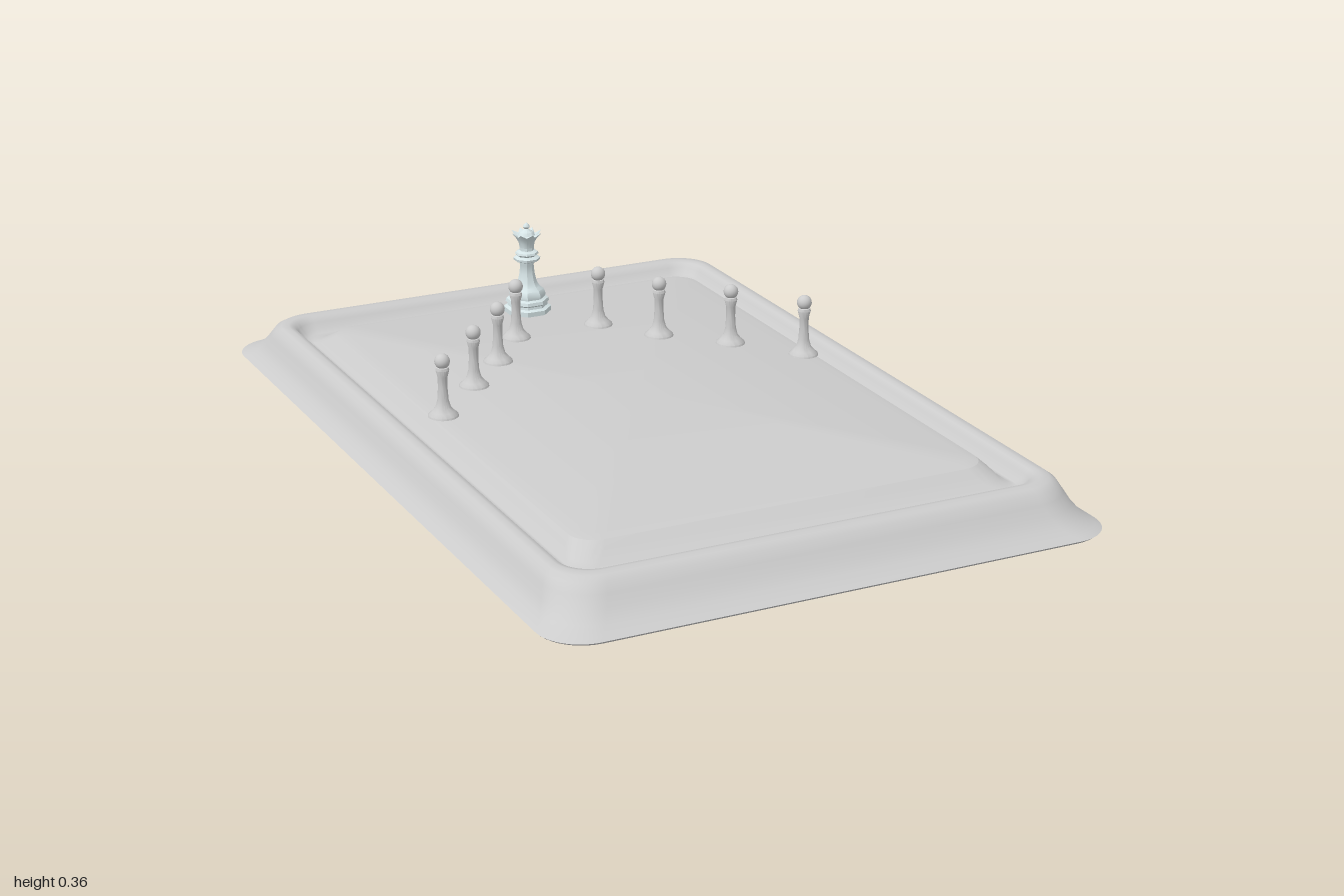
import * as THREE from 'three';
import { toCreasedNormals } from 'three/addons/utils/BufferGeometryUtils.js';

const grey = new THREE.MeshStandardMaterial({ color: 0xcccccc, side: THREE.DoubleSide });
const pale = new THREE.MeshStandardMaterial({ color: 0xd6e4e6, side: THREE.DoubleSide });

function named(name, geometry, material) {
  const mesh = new THREE.Mesh(geometry, material);
  mesh.name = name;
  return mesh;
}

// Outline of a rounded rectangle, running from +x towards +z
function roundedRing(hx, hz, r, steps = 10) {
  const centres = [[1, 1], [-1, 1], [-1, -1], [1, -1]];
  const points = [];
  centres.forEach(([sx, sz], k) => {
    for (let i = 0; i <= steps; i++) {
      const a = (k + i / steps) * Math.PI / 2;
      points.push([sx * (hx - r) + r * Math.cos(a), sz * (hz - r) + r * Math.sin(a)]);
    }
  });
  return points;
}

// Skin a stack of rounded rectangles given as [halfX, halfZ, y, cornerRadius]
function loftRings(sections, crease) {
  const position = [], index = [];
  let n = 0;
  sections.forEach(([hx, hz, y, r]) => {
    const ring = roundedRing(hx, hz, r);
    n = ring.length;
    ring.forEach(([x, z]) => position.push(x, y, z));
  });
  for (let i = 0; i < sections.length - 1; i++) {
    for (let j = 0; j < n; j++) {
      const a = i * n + j, b = i * n + (j + 1) % n, c = a + n, d = b + n;
      index.push(a, c, b, b, c, d);
    }
  }
  const geometry = new THREE.BufferGeometry();
  geometry.setAttribute('position', new THREE.Float32BufferAttribute(position, 3));
  geometry.setIndex(index);
  return toCreasedNormals(geometry, crease);
}

function turned(profile, segments, crease = 0.6) {
  const points = profile.map(([r, y]) => new THREE.Vector2(r, y));
  return toCreasedNormals(new THREE.LatheGeometry(points, segments, Math.PI / segments), crease);
}

// Board: slightly bulging underside, raised rim, groove and flat playing field
function makeBoard() {
  const board = new THREE.Group();
  board.name = 'board';
  board.add(named('tray', loftRings([
    [0, 0, 0, 0], [0.35, 0.6, 0.002, 0.08], [0.55, 0.86, 0.007, 0.1],
    [0.635, 0.96, 0.013, 0.1], [0.664, 0.994, 0.02, 0.1],
    [0.67, 1, 0.026, 0.1], [0.66, 0.988, 0.032, 0.1],
    [0.643, 0.962, 0.045, 0.1], [0.629, 0.938, 0.067, 0.1],
    [0.619, 0.92, 0.09, 0.1], [0.609, 0.905, 0.109, 0.095],
    [0.597, 0.89, 0.118, 0.09], [0.58, 0.871, 0.12, 0.08],
    [0.568, 0.857, 0.117, 0.07], [0.559, 0.846, 0.106, 0.06],
    [0.55, 0.834, 0.092, 0.055], [0.541, 0.82, 0.085, 0.05],
    [0.532, 0.802, 0.085, 0.05], [0.522, 0.78, 0.093, 0.055],
    [0.511, 0.758, 0.108, 0.06], [0.497, 0.738, 0.122, 0.06],
  ], 0.9), grey));
  board.add(named('playingField', loftRings([
    [0.497, 0.738, 0.122, 0.06], [0.475, 0.716, 0.127, 0.05], [0, 0, 0.128, 0],
  ], 0.5), grey));
  return board;
}

// Pawn: flared foot, slim neck and ball head
const pawnGeometry = turned([
  [0, 0], [0.036, 0], [0.035, 0.004], [0.026, 0.012], [0.018, 0.022], [0.013, 0.04],
  [0.011, 0.07], [0.0115, 0.095], [0.016, 0.112], [0.014, 0.118], [0.01, 0.12],
], 20);
const headGeometry = new THREE.SphereGeometry(0.018, 20, 14);

function makePawn(x, z) {
  const pawn = new THREE.Group();
  pawn.name = 'pawn';
  const head = named('pawnHead', headGeometry, grey);
  head.position.y = 0.133;
  pawn.add(named('pawnBody', pawnGeometry, grey), head);
  pawn.position.set(x, 0.128, z);
  return pawn;
}

// Queen: stepped octagonal foot, waisted body, collars and pointed crown
function makeQueen() {
  const queen = new THREE.Group();
  queen.name = 'queen';
  queen.add(named('queenBody', turned([
    [0, 0], [0.06, 0], [0.06, 0.012], [0.051, 0.016], [0.05, 0.022], [0.055, 0.026],
    [0.053, 0.034], [0.045, 0.038], [0.046, 0.046], [0.041, 0.058], [0.031, 0.066],
    [0.024, 0.078], [0.019, 0.1], [0.017, 0.122], [0.02, 0.13], [0.033, 0.135],
    [0.034, 0.141], [0.024, 0.146], [0.03, 0.151], [0.028, 0.156], [0.018, 0.16], [0.018, 0.17],
  ], 8), pale));

  const crown = new THREE.LatheGeometry([
    [0.018, 0.168], [0.02, 0.18], [0.027, 0.193], [0.04, 0.208], [0.024, 0.2], [0, 0.2],
  ].map(([r, y]) => new THREE.Vector2(r, y)), 16);
  // pull every second rim vertex in and down to leave eight points
  const p = crown.attributes.position;
  for (let i = 0; i < p.count; i++) {
    const x = p.getX(i), z = p.getZ(i);
    const step = Math.round(Math.atan2(x, z) / (Math.PI / 8));
    if (Math.hypot(x, z) > 0.035 && step % 2 !== 0) p.setXYZ(i, x * 0.74, 0.198, z * 0.74);
  }
  queen.add(named('crown', toCreasedNormals(crown, 0.5), pale));
  queen.add(named('crownFinial', turned([
    [0.022, 0.199], [0.017, 0.208], [0.008, 0.213], [0.005, 0.216],
    [0.009, 0.221], [0.007, 0.226], [0, 0.232],
  ], 10), pale));
  queen.position.set(0, 0.127, -0.645);
  return queen;
}

export function createModel() {
  const model = new THREE.Group();
  model.name = 'boardWithPieces';
  model.add(makeBoard(), makeQueen());
  // pawns fan out in two rows in front of the queen
  [[-0.475, -0.05], [-0.335, -0.2], [-0.218, -0.328], [-0.11, -0.465],
    [0.113, -0.465], [0.214, -0.328], [0.346, -0.2], [0.467, -0.05],
  ].forEach(([x, z]) => model.add(makePawn(x, z)));
  return model;
}
